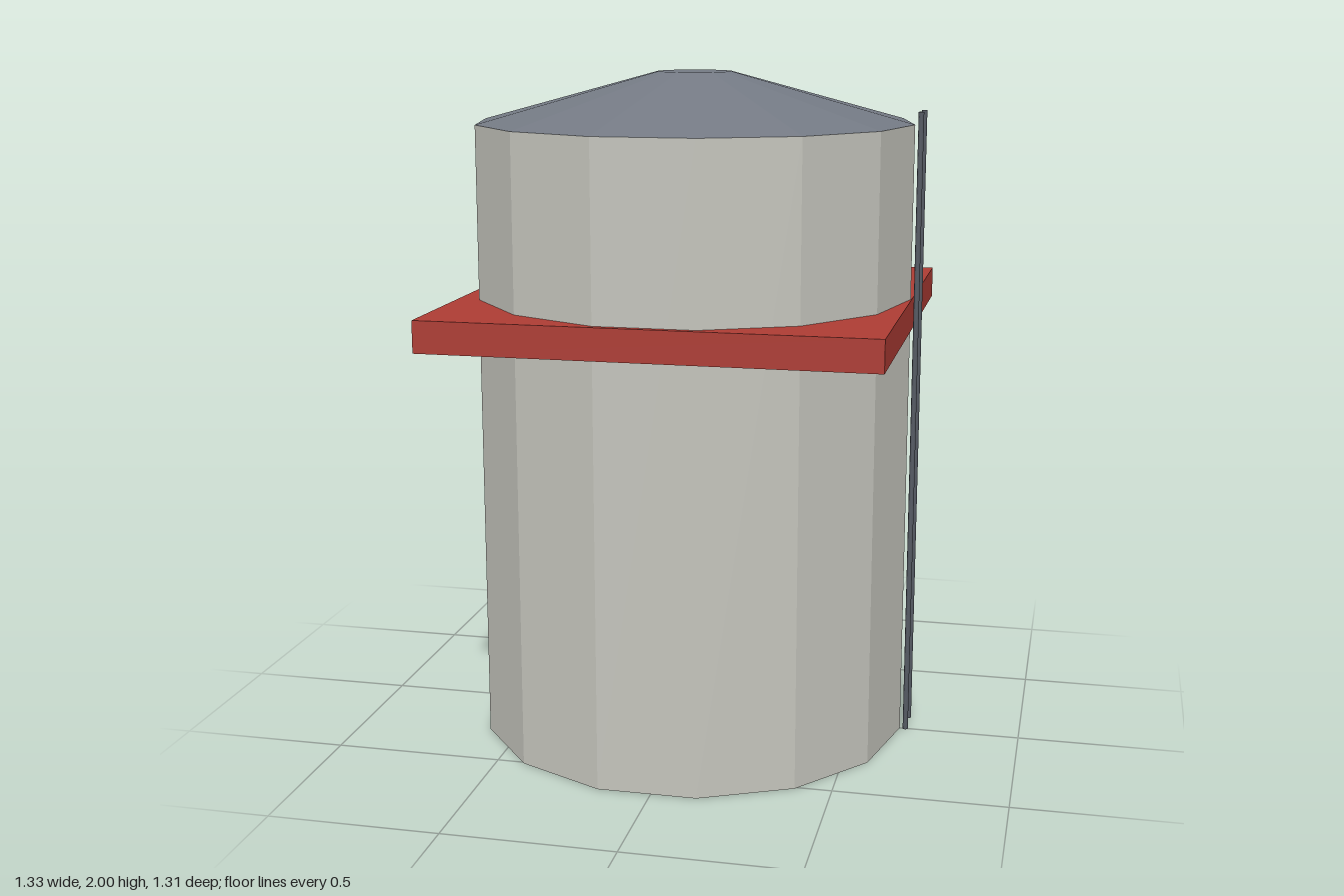
import * as THREE from 'three';

const SIDES = 14;
const CX = -0.012; // tank axis, offset by the rails on the left side

function material(name, color, flatShading = false) {
  const m = new THREE.MeshStandardMaterial({ color, flatShading });
  m.name = name;
  return m;
}

export function createModel() {
  const group = new THREE.Group();
  group.name = 'storageTank';

  const wall = material('paleConcrete', 0xc4c4bc, true);
  const slate = material('slateGrey', 0x747a84, true);
  const red = material('bandRed', 0xad3c34);
  const steel = material('darkSteel', 0x555a63);

  const add = (name, geometry, mat, x, y, z = 0) => {
    const mesh = new THREE.Mesh(geometry, mat);
    mesh.name = name;
    mesh.position.set(x, y, z);
    group.add(mesh);
  };

  // Faceted tank with a corner on the x axis
  const wallTop = 1.853;
  add('tankWall', new THREE.CylinderGeometry(0.65, 0.65, wallTop, SIDES, 1, false, Math.PI / 2),
    wall, CX, wallTop / 2);

  // Truncated cone roof
  const roofHeight = 2 - wallTop;
  add('roof', new THREE.CylinderGeometry(0.11, 0.65, roofHeight, SIDES, 1, false, Math.PI / 2),
    slate, CX, wallTop + roofHeight / 2);

  // Square band around the tank
  add('squareBand', new THREE.BoxGeometry(1.306, 0.093, 1.306), red, CX, 1.298);

  // Pair of ladder rails
  for (const z of [0, -0.093]) {
    add('ladderRail', new THREE.CylinderGeometry(0.008, 0.008, 1.89, 8), steel, 0.655, 0.945, z);
  }

  return group;
}
